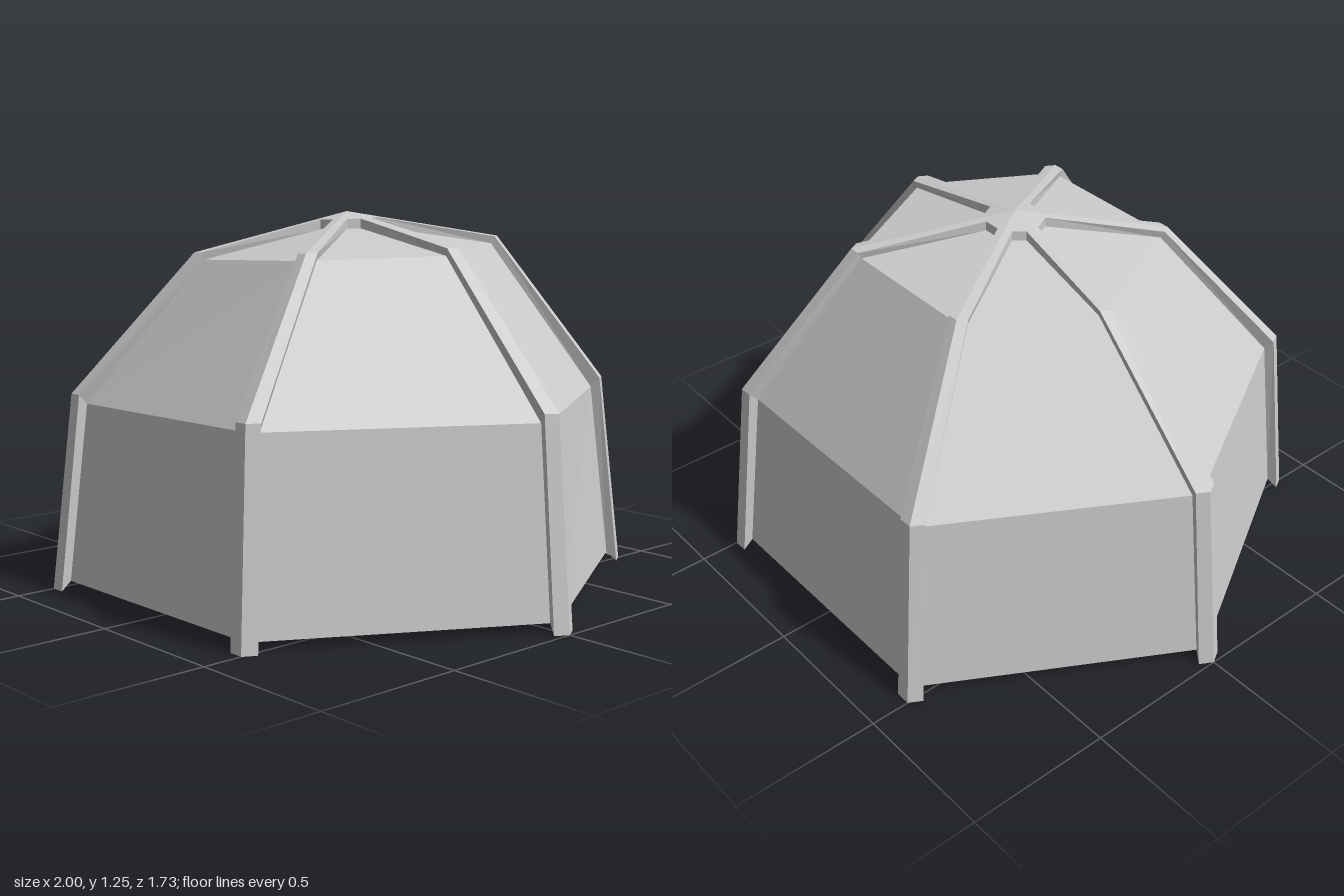
import * as THREE from 'three';

const V = (x, y, z) => new THREE.Vector3(x, y, z);
const APEX = V(0, 1.245, 0);
const SIDES = 6;

// Slightly irregular knee and shoulder of each pole, going round from +x towards +z
const KNEES = [[0.925, 0.665, -0.02], [0.46, 0.67, 0.81], [-0.465, 0.655, 0.8],
  [-0.93, 0.675, -0.01], [-0.465, 0.67, -0.8], [0.46, 0.66, -0.795]];
const SHOULDERS = [[0.53, 1.145, 0.012], [0.3, 1.135, 0.44], [-0.235, 1.115, 0.462],
  [-0.5, 1.13, -0.04], [-0.27, 1.155, -0.455], [0.265, 1.158, -0.455]];

const WING = [0.05, 0.046, 0.036, 0.027]; // rib half widths, foot to hub
const INSET = [0.036, 0.03, 0.012, 0];    // how far the canvas sits inwards
const DROP = [-0.03, 0.032, 0.024, 0.032]; // how far the canvas sits below the ribs

// Pole path: foot, knee, shoulder, hub
function polePath(k) {
  const a = (k * Math.PI * 2) / SIDES;
  const shoulder = V(...SHOULDERS[k]);
  const hub = APEX.clone().lerp(shoulder, 0.11 / Math.hypot(shoulder.x, shoulder.z));
  return [V(Math.cos(a), 0, Math.sin(a)), V(...KNEES[k]), shoulder, hub];
}

// Quads or triangles, counter-clockwise from outside, to a faceted mesh
function facesToMesh(name, faces, material) {
  const pts = [];
  for (const f of faces) {
    for (let i = 1; i < f.length - 1; i++) pts.push(f[0], f[i], f[i + 1]);
  }
  const geometry = new THREE.BufferGeometry().setFromPoints(pts);
  geometry.computeVertexNormals();
  const mesh = new THREE.Mesh(geometry, material);
  mesh.name = name;
  return mesh;
}

// Strip between two lines of points, the left one first
const strip = (l, r) => l.slice(1).map((_, i) => [l[i], r[i], r[i + 1], l[i + 1]]);

export function createModel() {
  const group = new THREE.Group();
  group.name = 'domeTent';
  const material = new THREE.MeshStandardMaterial({
    color: 0xcccccc, flatShading: true, side: THREE.DoubleSide,
  });
  const poles = Array.from({ length: SIDES }, (_, k) => polePath(k));
  const ribs = poles.map(() => []);
  const hub = [];

  for (let k = 0; k < SIDES; k++) {
    const next = (k + 1) % SIDES;
    const right = poles[k], left = poles[next];
    const mid = ((k + 0.5) * Math.PI * 2) / SIDES;
    const inward = V(-Math.cos(mid), 0, -Math.sin(mid));

    // Rib edges on the outside and the canvas edges sunk below them
    const edge = (from, to) => from.map((p, i) =>
      p.clone().addScaledVector(to[i].clone().sub(p).normalize(), WING[i]));
    const sink = (line) => line.map((p, i) =>
      p.clone().addScaledVector(inward, INSET[i]).add(V(0, -DROP[i], 0)));
    const rightEdge = edge(right, left), leftEdge = edge(left, right);
    const rightCanvas = sink(rightEdge), leftCanvas = sink(leftEdge);

    // Canvas panel
    group.add(facesToMesh('canvasPanel', strip(leftCanvas, rightCanvas), material));

    // Halves of the two neighbouring ribs with their side walls
    ribs[k].push(...strip(rightEdge, right), ...strip(rightCanvas, rightEdge));
    ribs[next].push(...strip(left, leftEdge), ...strip(leftEdge, leftCanvas));

    // Hub segment and its rim
    hub.push([APEX, left[3], leftEdge[3], rightEdge[3], right[3]]);
    hub.push([leftCanvas[3], rightCanvas[3], rightEdge[3], leftEdge[3]]);
  }

  ribs.forEach((faces) => group.add(facesToMesh('poleRib', faces, material)));
  group.add(facesToMesh('topHub', hub, material));
  return group;
}
